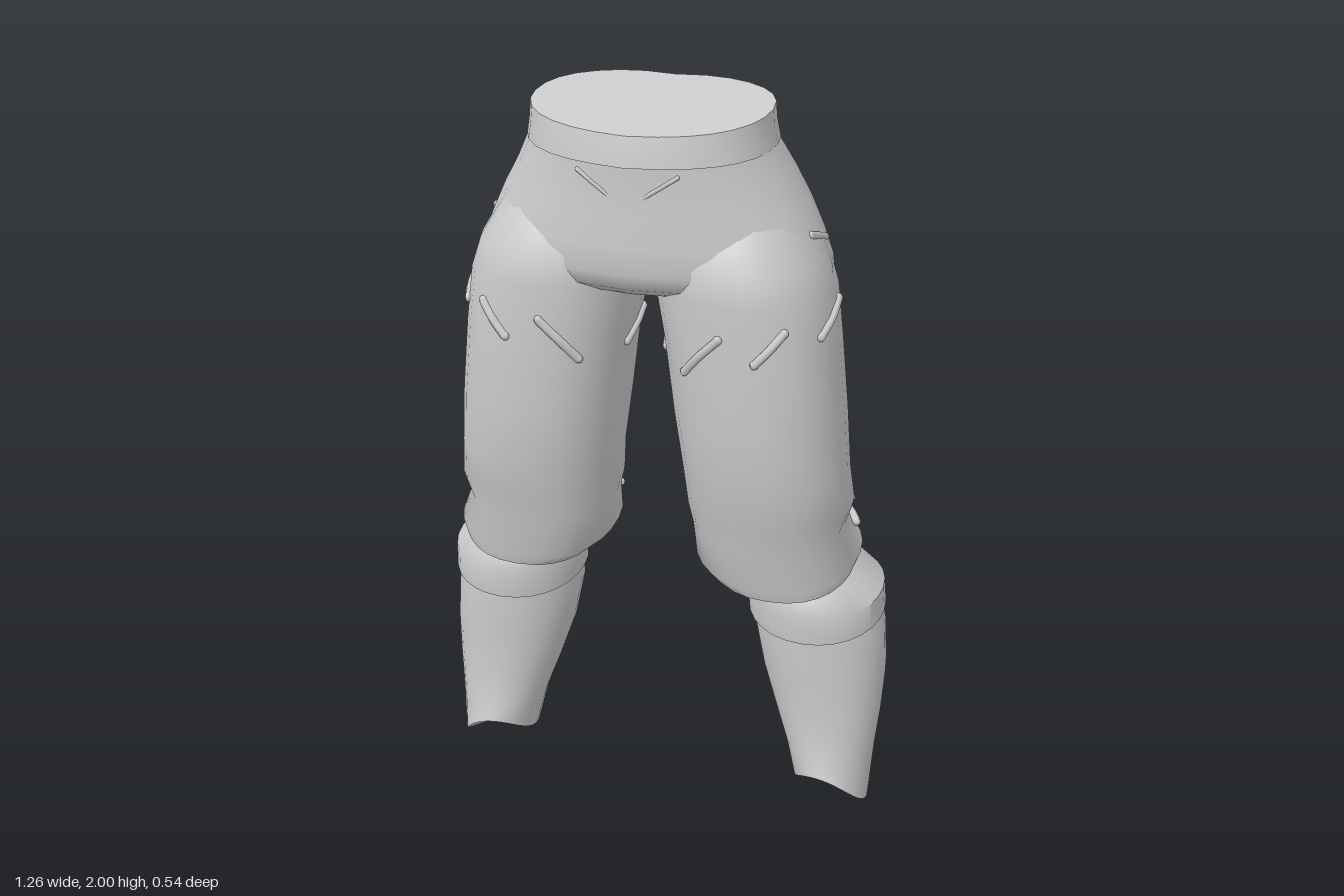
import * as THREE from 'three';
import { toCreasedNormals } from 'three/addons/utils/BufferGeometryUtils.js';

const SEG = 28;
const mat = new THREE.MeshStandardMaterial({ color: 0xcccccc, side: THREE.DoubleSide });
const spow = (v, e) => Math.sign(v) * Math.abs(v) ** e;

// A row is [height at back (or function of angle), xMin, xMax, zFront, zBack, drop at front]
function sectionPoint([y, x0, x1, zf, zb, drop = 0], a, n) {
  const c = Math.cos(a), s = Math.sin(a);
  const h = typeof y === 'function' ? y(a) : y - drop * ((1 + s) / 2) ** 1.5;
  return new THREE.Vector3(
    (x0 + x1) / 2 + (x1 - x0) / 2 * spow(c, 2 / n), h,
    (zf + zb) / 2 + (zf - zb) / 2 * spow(s, 2 / n));
}

// Skin through rows listed from top to bottom, closed at both ends; side = -1 mirrors it
function loft(name, rows, { n = 2.3, side = 1, crease = 0.8, shape } = {}) {
  const pos = [], idx = [];
  const tri = (a, b, c) => side > 0 ? idx.push(a, b, c) : idx.push(a, c, b);
  const rings = rows.map(r => Array.from({ length: SEG }, (_, j) => {
    const p = sectionPoint(r, j / SEG * Math.PI * 2, n);
    if (shape) shape(p, r);
    p.x *= side;
    return p;
  }));
  rings.forEach(r => r.forEach(p => pos.push(p.x, p.y, p.z)));
  for (let i = 0; i < rows.length - 1; i++) for (let j = 0; j < SEG; j++) {
    const k = (j + 1) % SEG, a = i * SEG + j, b = i * SEG + k;
    tri(a, b, a + SEG);
    tri(b, b + SEG, a + SEG);
  }
  [0, rows.length - 1].forEach((i, end) => {
    const c = rings[i].reduce((s, p) => s.add(p), new THREE.Vector3()).divideScalar(SEG);
    const ci = pos.length / 3;
    pos.push(c.x, c.y, c.z);
    for (let j = 0; j < SEG; j++) {
      const a = i * SEG + j, b = i * SEG + (j + 1) % SEG;
      end ? tri(ci, a, b) : tri(ci, b, a);
    }
  });
  const g = new THREE.BufferGeometry();
  g.setAttribute('position', new THREE.Float32BufferAttribute(pos, 3));
  g.setIndex(idx);
  g.computeVertexNormals();
  const m = new THREE.Mesh(toCreasedNormals(g, crease), mat);
  m.name = name;
  return m;
}

// Point on a skin at a given height and angle in degrees
function onSkin(rows, y, deg, n) {
  let i = 0;
  while (i < rows.length - 2 && rows[i + 1][0] > y) i++;
  const t = (rows[i][0] - y) / (rows[i][0] - rows[i + 1][0]);
  const a = deg * Math.PI / 180;
  const p = sectionPoint(rows[i], a, n).lerp(sectionPoint(rows[i + 1], a, n), t);
  p.y = y;
  return p;
}

// Raised fold with rounded ends
function ridge(name, pts, r) {
  const g = new THREE.Group();
  g.name = name;
  const curve = new THREE.CatmullRomCurve3(pts);
  g.add(new THREE.Mesh(new THREE.TubeGeometry(curve, 8, r, 6), mat));
  [pts[0], pts[pts.length - 1]].forEach(p => {
    const m = new THREE.Mesh(new THREE.SphereGeometry(r, 6, 5), mat);
    m.position.copy(p);
    g.add(m);
  });
  return g;
}

const hipRows = [
  [1.91, -.312, .312, .252, -.185, .035],
  [1.83, -.35, .35, .25, -.23, .02],
  [1.75, -.39, .39, .252, -.246],
  [1.67, -.427, .427, .255, -.25],
  [1.60, -.455, .455, .255, -.24],
  [1.56, -.462, .462, .24, -.215],
  [1.535, -.45, .45, .20, -.17],
];
const bandRows = [
  [2.0, -.305, .305, .245, -.165, .055],
  [1.955, -.308, .308, .252, -.175, .045],
  [1.905, -.316, .316, .257, -.19, .035],
];
const thighRows = [
  [1.72, .03, .39, .20, -.19],
  [1.62, .015, .445, .25, -.19],
  [1.54, .02, .472, .254, -.19],
  [1.40, .045, .49, .25, -.18],
  [1.20, .07, .51, .248, -.185],
  [1.04, .092, .523, .23, -.175],
  [.95, .10, .535, .205, -.18, .03],
  [.90, .112, .517, .185, -.172, .05],
  [.83, .115, .558, .165, -.195, .10],
  [.79, .155, .545, .155, -.175, .09],
  [.76, .21, .48, .12, -.12, .07],
];
const cuffRows = [
  [.79, .27, .52, .06, -.17, .06],
  [.75, .255, .55, .085, -.21, .05],
  [.68, .24, .612, .10, -.265, .05],
  [.61, .245, .617, .09, -.272, .06],
  [.60, .27, .60, .05, -.25, .06],
];
// Ankle hem rises at the front and dips at the outer side
const hem = a => .054 - .024 * Math.cos(a) + .03 * Math.sin(a) - .028 * Math.cos(2 * a);
const shinRows = [
  [.64, .26, .60, .06, -.255, .05],
  [.54, .257, .618, .06, -.262],
  [.40, .285, .628, .048, -.245],
  [.28, .325, .622, .046, -.22],
  [.17, .365, .612, .05, -.197],
  [hem, .395, .602, .066, -.182],
];
// Fabric folds round the thigh: start height and angle, end height and angle
const folds = [
  [1.455, 95, 1.35, 124], [1.48, 56, 1.40, 78], [1.45, 26, 1.51, -4],
  [1.49, -38, 1.40, -60], [1.38, -92, 1.45, -118], [1.42, 192, 1.36, 168], [1.68, 10, 1.65, -12],
];
// Longer folds sweeping across the back of the knee
const kneeFolds = [[.93, -20, .86, -150], [.86, -15, .93, -95]];

export function createModel() {
  const model = new THREE.Group();
  model.name = 'trousers';

  // Cleft at the back and a slight centre ridge at the front
  const hipShape = p => {
    const k = Math.exp(-((p.x / .07) ** 2));
    p.z += p.z < 0 ? .022 * k : .01 * k;
  };
  model.add(loft('hips', hipRows, { n: 2.25, shape: hipShape }));
  model.add(loft('waistband', bandRows, { n: 2.25, crease: .6, shape: hipShape }));

  // Small V seam below the waistband
  const seam = [[1.85, 71], [1.80, 84], [1.77, 90], [1.80, 96], [1.85, 109]]
    .map(([y, d]) => onSkin(hipRows, y, d, 2.25));
  model.add(ridge('frontSeam', seam, .006));

  for (const side of [1, -1]) {
    const leg = new THREE.Group();
    leg.name = side > 0 ? 'leftLeg' : 'rightLeg';
    leg.add(loft('thigh', thighRows, { side }));
    leg.add(loft('kneeCuff', cuffRows, { side, n: 2.1, crease: .6 }));
    leg.add(loft('shin', shinRows, { side, n: 2.1 }));
    const addFold = (name, [y0, a0, y1, a1], steps, r) => {
      const pts = Array.from({ length: steps + 1 }, (_, i) => {
        const t = i / steps;
        const p = onSkin(thighRows, y0 + (y1 - y0) * t, a0 + (a1 - a0) * t, 2.3);
        p.x *= side;
        return p;
      });
      leg.add(ridge(name, pts, r));
    };
    folds.forEach(f => addFold('thighFold', f, 2, .012));
    kneeFolds.forEach(f => addFold('kneeFold', f, 5, .012));
    model.add(leg);
  }
  return model;
}
